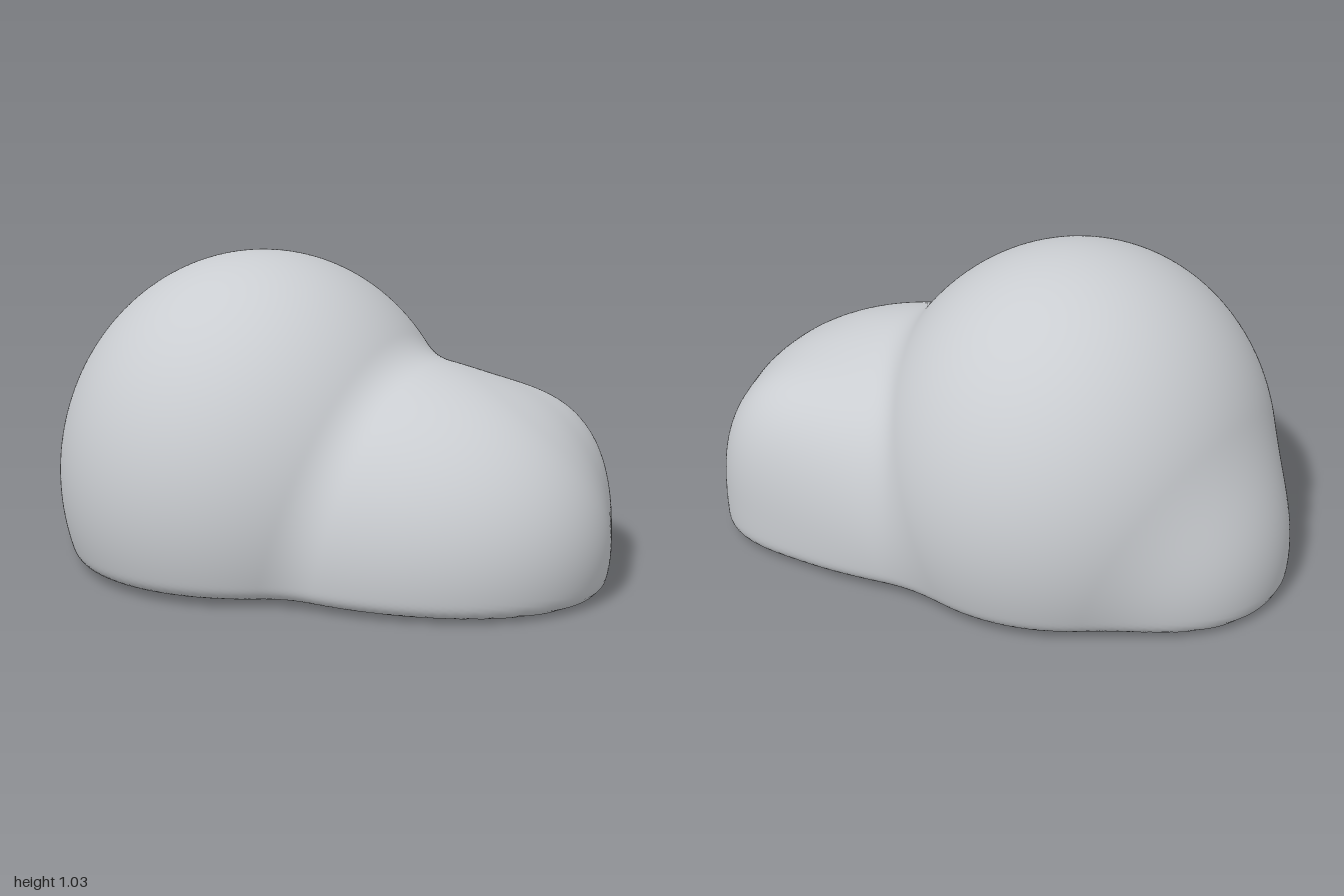
import * as THREE from 'three';
import { mergeVertices } from 'three/addons/utils/BufferGeometryUtils.js';

// Rounded lobes: centre, radii, power (2 = ellipsoid, more = boxier), blend width
const lobes = [
  { c: [-0.23, 0.3, 0], r: [0.66, 0.735, 0.71], n: 2, k: 0.1 },         // tall main dome
  { c: [0.2, 0.15, -0.07], r: [0.795, 0.578, 0.57], n: 2, k: 0.06 },    // long low side lobe
  { c: [0.45, 0.15, -0.3], r: [0.425, 0.465, 0.34], n: 2.5, k: 0.07 },  // back shoulder
  { c: [-0.68, 0.1, -0.06], r: [0.315, 0.37, 0.385], n: 2, k: 0.13 },   // small foot bulge
];

function smoothMin(a, b, k) {
  const h = Math.max(k - Math.abs(a - b), 0) / k;
  return Math.min(a, b) - h * h * k * 0.25;
}

function lobeDistance({ c, r, n }, p) {
  const sum = Math.abs((p.x - c[0]) / r[0]) ** n
    + Math.abs((p.y - c[1]) / r[1]) ** n
    + Math.abs((p.z - c[2]) / r[2]) ** n;
  return (sum ** (1 / n) - 1) * Math.min(...r);
}

// Blended lobes, cut by a slightly arched underside with a soft rim
function bodyDistance(p) {
  let d = 10;
  for (const lobe of lobes) d = smoothMin(d, lobeDistance(lobe, p), lobe.k);
  const floor = 0.025 - 0.025 * Math.min(1, p.x * p.x) - p.y;
  return -smoothMin(-d, -floor, 0.05);
}

function createBody() {
  let geometry = new THREE.IcosahedronGeometry(1, 50);
  geometry.deleteAttribute('normal');
  geometry.deleteAttribute('uv');
  geometry = mergeVertices(geometry, 1e-5);

  // Push every vertex outward from an inner point to the blended surface
  const origin = new THREE.Vector3(0.03, 0.28, -0.03);
  const position = geometry.attributes.position;
  const dir = new THREE.Vector3();
  const p = new THREE.Vector3();
  for (let i = 0; i < position.count; i++) {
    dir.fromBufferAttribute(position, i).normalize();
    let near = 0, far = 1.6;
    for (let step = 0; step < 26; step++) {
      const mid = (near + far) / 2;
      p.copy(origin).addScaledVector(dir, mid);
      if (bodyDistance(p) < 0) near = mid; else far = mid;
    }
    p.copy(origin).addScaledVector(dir, near);
    position.setXYZ(i, p.x, p.y, p.z);
  }
  geometry.computeVertexNormals();
  return geometry;
}

export function createModel() {
  const group = new THREE.Group();
  group.name = 'roundedBoulder';
  const stone = new THREE.MeshStandardMaterial({ color: 0xcacdd1 });
  stone.name = 'stoneGrey';
  const body = new THREE.Mesh(createBody(), stone);
  body.name = 'boulderBody';
  group.add(body);
  return group;
}
